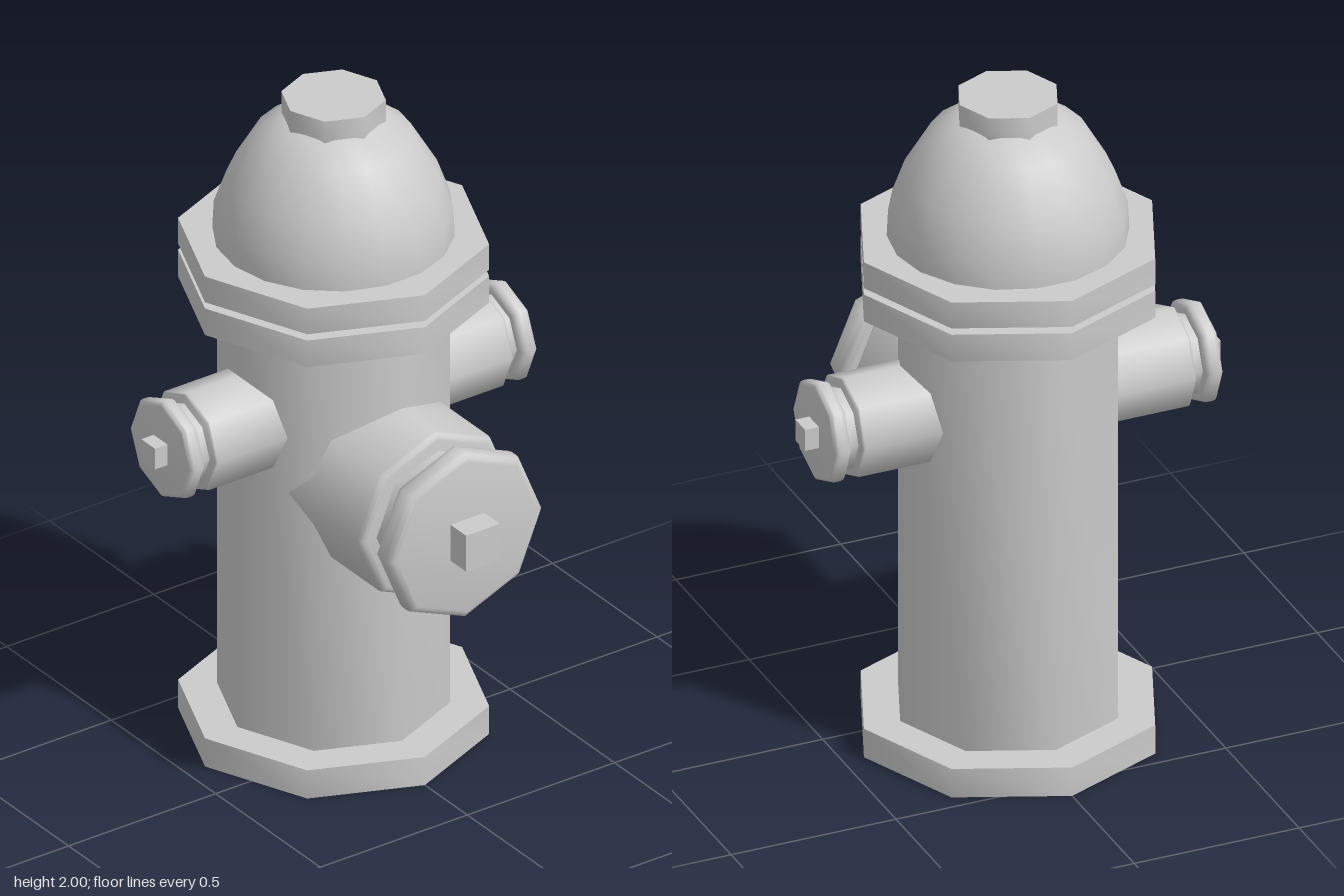
import * as THREE from 'three';
import { toCreasedNormals } from 'three/addons/utils/BufferGeometryUtils.js';

const AXIS_X = -0.14; // the barrel stands off-centre because of the large outlet
const material = new THREE.MeshStandardMaterial({ color: 0xcccccc, side: THREE.DoubleSide });

function addMesh(parent, name, geometry) {
  const mesh = new THREE.Mesh(geometry, material);
  mesh.name = name;
  parent.add(mesh);
  return mesh;
}

// Turned part from [radius, height] pairs, smooth around and sharp at its rims
function turned(profile, sides = 8) {
  const points = profile.map(([r, y]) => new THREE.Vector2(r, y));
  return toCreasedNormals(new THREE.LatheGeometry(points, sides), 0.9);
}

// Closed octagonal ring
function ring(inner, outer, y0, y1) {
  return turned([[inner, y0], [outer, y0], [outer, y1], [inner, y1], [inner, y0]]);
}

// Quarter-round rim: from the side wall to the end face, or the reverse
function rim(r, y, bevel, up) {
  const arc = [];
  for (let i = 0; i <= 3; i++) {
    const a = (i / 3) * Math.PI / 2;
    arc.push([r - bevel + bevel * Math.cos(a), y + (up ? 1 : -1) * bevel * (Math.sin(a) - 1)]);
  }
  return up ? arc : arc.reverse();
}

// Outlet built along +y: pipe, neck, rounded cap and square nut
function outlet(name, { r, neck, start, pipeEnd, capStart, capEnd, nutEnd, nut, pipeBevel, capBevel }) {
  const group = new THREE.Group();
  group.name = name;
  addMesh(group, 'pipe', turned([[r, start], ...rim(r, pipeEnd, pipeBevel, true), [0, pipeEnd]]));
  addMesh(group, 'neck', turned([[neck, pipeEnd - 0.01], [neck, capStart + 0.01]]));
  addMesh(group, 'cap', turned([
    [0, capStart], ...rim(r, capStart, capBevel, false),
    ...rim(r, capEnd, capBevel * 0.7, true), [0, capEnd],
  ]));
  const length = nutEnd - capEnd + 0.02;
  addMesh(group, 'nut', new THREE.BoxGeometry(nut, length, nut)).position.y = nutEnd - length / 2;
  return group;
}

export function createModel() {
  const model = new THREE.Group();
  model.name = 'hydrant';
  const column = new THREE.Group();
  column.name = 'column';
  column.position.x = AXIS_X;
  model.add(column);

  // Hollow octagonal barrel with its flanges
  addMesh(column, 'barrel', turned([[0.327, 0.02], [0.327, 1.5]]));
  addMesh(column, 'baseFlange', ring(0.318, 0.437, 0, 0.09));
  addMesh(column, 'lowerFlange', ring(0.318, 0.437, 1.38, 1.465));
  addMesh(column, 'upperFlange', ring(0.318, 0.437, 1.485, 1.567));

  // Domed bonnet and top nut
  addMesh(column, 'bonnet', turned([
    [0.337, 1.5], [0.337, 1.57], [0.333, 1.65], [0.297, 1.75],
    [0.222, 1.878], [0.14, 1.937], [0.05, 1.955], [0, 1.957],
  ], 18));
  addMesh(column, 'topNut', turned([[0.147, 1.9], [0.147, 2], [0, 2]]));

  // Large outlet on the left side
  const large = outlet('largeOutlet', {
    r: 0.263, neck: 0.209, start: 0.1, pipeEnd: 0.5, capStart: 0.555, capEnd: 0.64,
    nutEnd: 0.715, nut: 0.115, pipeBevel: 0.02, capBevel: 0.035,
  });
  large.rotation.z = -Math.PI / 2;
  large.position.y = 0.89;
  column.add(large);

  // Matching small outlets at front and back
  for (const side of [1, -1]) {
    const small = outlet(side > 0 ? 'frontOutlet' : 'backOutlet', {
      r: 0.152, neck: 0.121, start: 0.22, pipeEnd: 0.507, capStart: 0.537, capEnd: 0.588,
      nutEnd: 0.63, nut: 0.066, pipeBevel: 0.01, capBevel: 0.02,
    });
    small.rotation.x = side * Math.PI / 2;
    small.position.y = 1.063;
    column.add(small);
  }
  return model;
}
